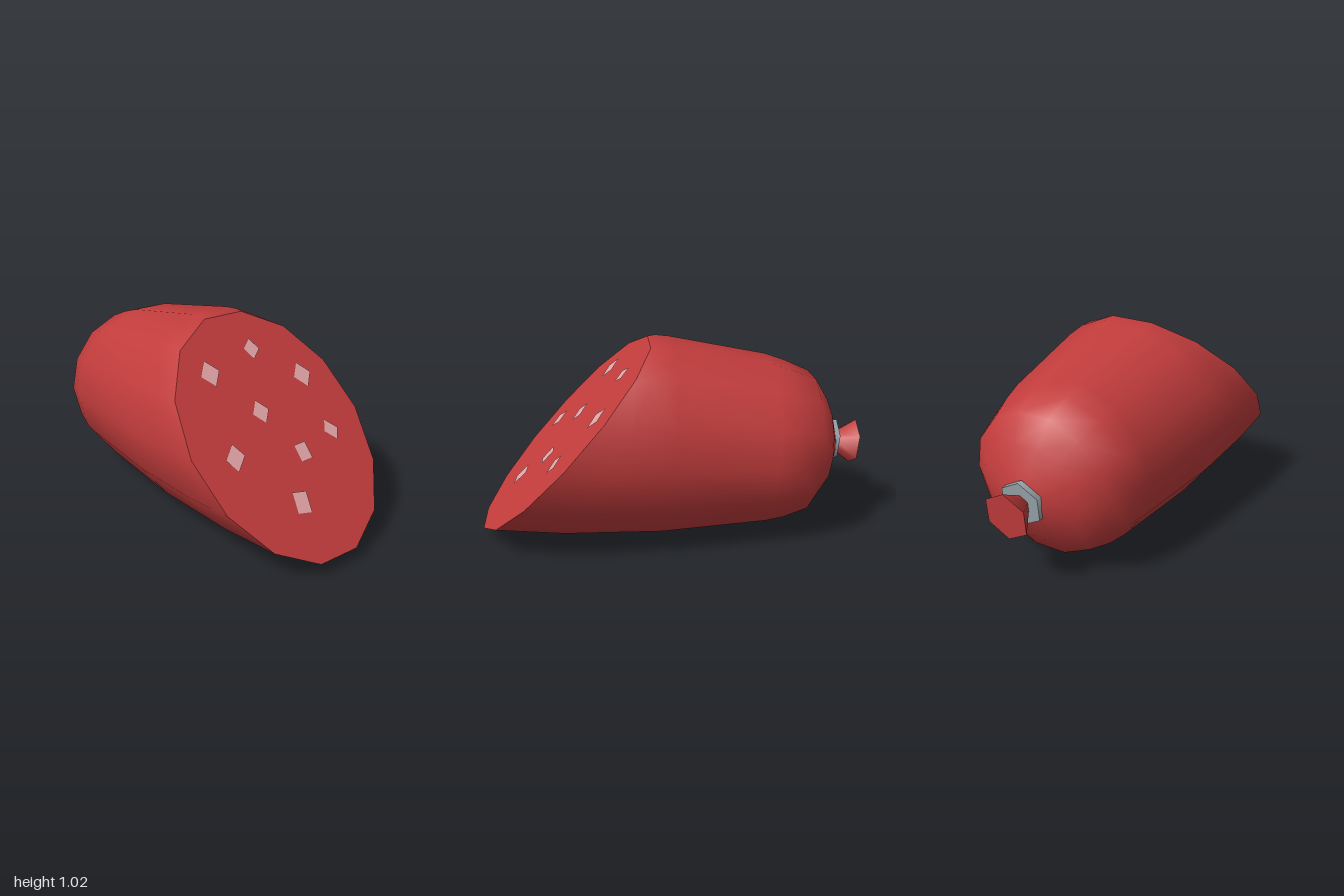
import * as THREE from 'three';

const SIDES = 14;

// Rings from the slanted cut to the rounded end: [topY, topZ, bottomY, bottomZ, halfWidth]
const RINGS = [
  [1.012, 0.12, 0.07, 1.0, 0.527],
  [1.018, 0.08, 0.027, 0.63, 0.528],
  [1.01, 0.01, 0.005, 0.1, 0.515],
  [0.905, -0.5, 0.025, -0.45, 0.448],
  [0.87, -0.6, 0.04, -0.55, 0.428],
  [0.81, -0.735, 0.08, -0.68, 0.385],
  [0.69, -0.81, 0.2, -0.78, 0.275],
  [0.52, -0.865, 0.34, -0.86, 0.1],
];

// Fat pieces on the cut: [x, y, then two half diagonals dx, dy, dx, dy]
const FAT = [
  [-0.222, 0.815, 0.057, 0.002, 0, 0.05],
  [0.075, 0.86, 0.045, -0.008, 0.013, 0.04],
  [0.297, 0.71, 0.057, 0, 0, 0.05],
  [-0.05, 0.63, 0.051, 0, 0, 0.045],
  [-0.305, 0.51, 0.055, -0.003, 0.016, 0.048],
  [0.3, 0.482, 0.045, -0.002, -0.01, 0.042],
  [0.075, 0.445, 0.035, -0.032, 0.035, 0.032],
  [-0.071, 0.285, 0.05, 0.03, -0.027, 0.044],
];

function ringPoints([ty, tz, by, bz, w]) {
  const points = [];
  for (let j = 0; j < SIDES; j++) {
    const a = (j / SIDES) * Math.PI * 2 - 0.026;
    const s = Math.sin(a) / 0.975 / 2;
    points.push(w * Math.cos(a), (ty + by) / 2 + s * (ty - by), (tz + bz) / 2 + s * (tz - bz));
  }
  return points;
}

function meshFrom(name, positions, index, material) {
  const geometry = new THREE.BufferGeometry();
  geometry.setAttribute('position', new THREE.Float32BufferAttribute(positions, 3));
  geometry.setIndex(index);
  geometry.computeVertexNormals();
  const mesh = new THREE.Mesh(geometry, material);
  mesh.name = name;
  return mesh;
}

export function createModel() {
  const red = new THREE.MeshStandardMaterial({ color: 0xc23c3c });
  red.name = 'sausage red';
  const pink = new THREE.MeshStandardMaterial({ color: 0xe2a4a6 });
  pink.name = 'fat pink';
  const grey = new THREE.MeshStandardMaterial({ color: 0x98a4ab });
  grey.name = 'clip grey';

  const model = new THREE.Group();
  model.name = 'sausage';

  // Casing: smooth skin through the rings, closed at the back
  const positions = RINGS.flatMap(ringPoints);
  const index = [];
  for (let i = 0; i < RINGS.length - 1; i++) {
    for (let j = 0; j < SIDES; j++) {
      const a = i * SIDES + j;
      const b = i * SIDES + ((j + 1) % SIDES);
      index.push(a, a + SIDES, b, b, a + SIDES, b + SIDES);
    }
  }
  const last = (RINGS.length - 1) * SIDES;
  const end = RINGS.length * SIDES;
  positions.push(0, 0.43, -0.87);
  for (let j = 0; j < SIDES; j++) index.push(end, last + ((j + 1) % SIDES), last + j);
  model.add(meshFrom('casing', positions, index, red));

  // Flat slanted cut
  const fan = [];
  for (let j = 1; j < SIDES - 1; j++) fan.push(0, j, j + 1);
  model.add(meshFrom('cutFace', ringPoints(RINGS[0]), fan, red));

  // Fat pieces lying just above the cut
  const [ty, tz, by, bz] = RINGS[0];
  const lift = 0.004;
  const onCut = (x, y) => [x, y + lift, bz + ((y - by) / (ty - by)) * (tz - bz) + lift];
  const fat = new THREE.Group();
  fat.name = 'fatPieces';
  for (const [x, y, px, py, qx, qy] of FAT) {
    const corners = [
      onCut(x + px, y + py), onCut(x + qx, y + qy),
      onCut(x - px, y - py), onCut(x - qx, y - qy),
    ].flat();
    fat.add(meshFrom('fatPiece', corners, [0, 1, 2, 0, 2, 3], pink));
  }
  model.add(fat);

  // Tied end: six-sided clip and flared tail, tipped slightly down
  const tie = new THREE.Group();
  tie.name = 'tiedEnd';
  tie.position.set(-0.008, 0.433, -0.868);
  tie.rotation.x = -0.1;
  const addHexagon = (name, backRadius, frontRadius, length, z, material) => {
    const geometry = new THREE.CylinderGeometry(backRadius, frontRadius, length, 6);
    geometry.rotateX(-Math.PI / 2);
    const mesh = new THREE.Mesh(geometry, material);
    mesh.name = name;
    mesh.position.z = z;
    tie.add(mesh);
  };
  addHexagon('clip', 0.115, 0.115, 0.028, 0, grey);
  addHexagon('tail', 0.123, 0.04, 0.12, -0.06, red);
  model.add(tie);

  return model;
}
